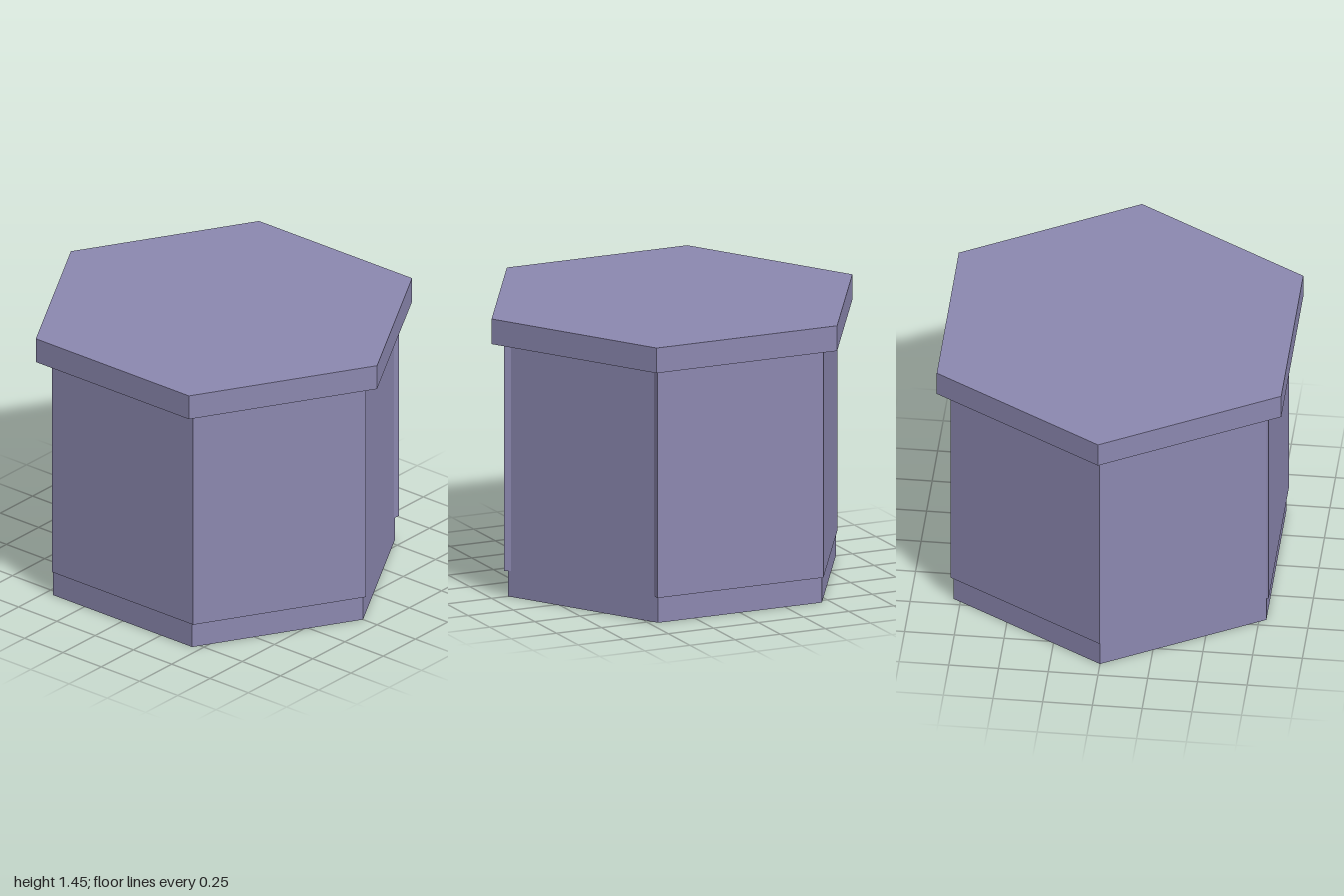
import * as THREE from 'three';

export function createModel() {
  const group = new THREE.Group();
  const material = new THREE.MeshStandardMaterial({ color: 0x8c88b0, flatShading: true });

  const add = (name, geometry, x, y, z) => {
    const mesh = new THREE.Mesh(geometry, material);
    mesh.name = name;
    mesh.position.set(x, y, z);
    group.add(mesh);
    return mesh;
  };

  // Six-sided slab with a corner pointing to the front
  const hexSlab = (name, radius, bottom, top) =>
    add(name, new THREE.CylinderGeometry(radius, radius, top - bottom, 6), 0, (bottom + top) / 2, 0);

  const baseTop = 0.133, lidBottom = 1.315, lidTop = 1.445;
  hexSlab('base', 0.908, 0, baseTop);
  hexSlab('lid', 1, lidBottom, lidTop);

  // Body: three crossed blocks, each forming two opposite walls
  const blocks = [
    { name: 'diagonalWallsFlush', angle: 30, depth: 1.573, width: 0.91, x: 0, z: 0 },
    { name: 'sideWalls', angle: 90, depth: 1.6, width: 0.92, x: 0.003, z: 0.006 },
    { name: 'diagonalWallsRaised', angle: -30, depth: 1.6, width: 0.92, x: 0, z: 0.006 },
  ];
  for (const { name, angle, depth, width, x, z } of blocks) {
    const geometry = new THREE.BoxGeometry(width, lidBottom - baseTop, depth);
    const block = add(name, geometry, x, (baseTop + lidBottom) / 2, z);
    block.rotation.y = THREE.MathUtils.degToRad(angle);
  }

  return group;
}
